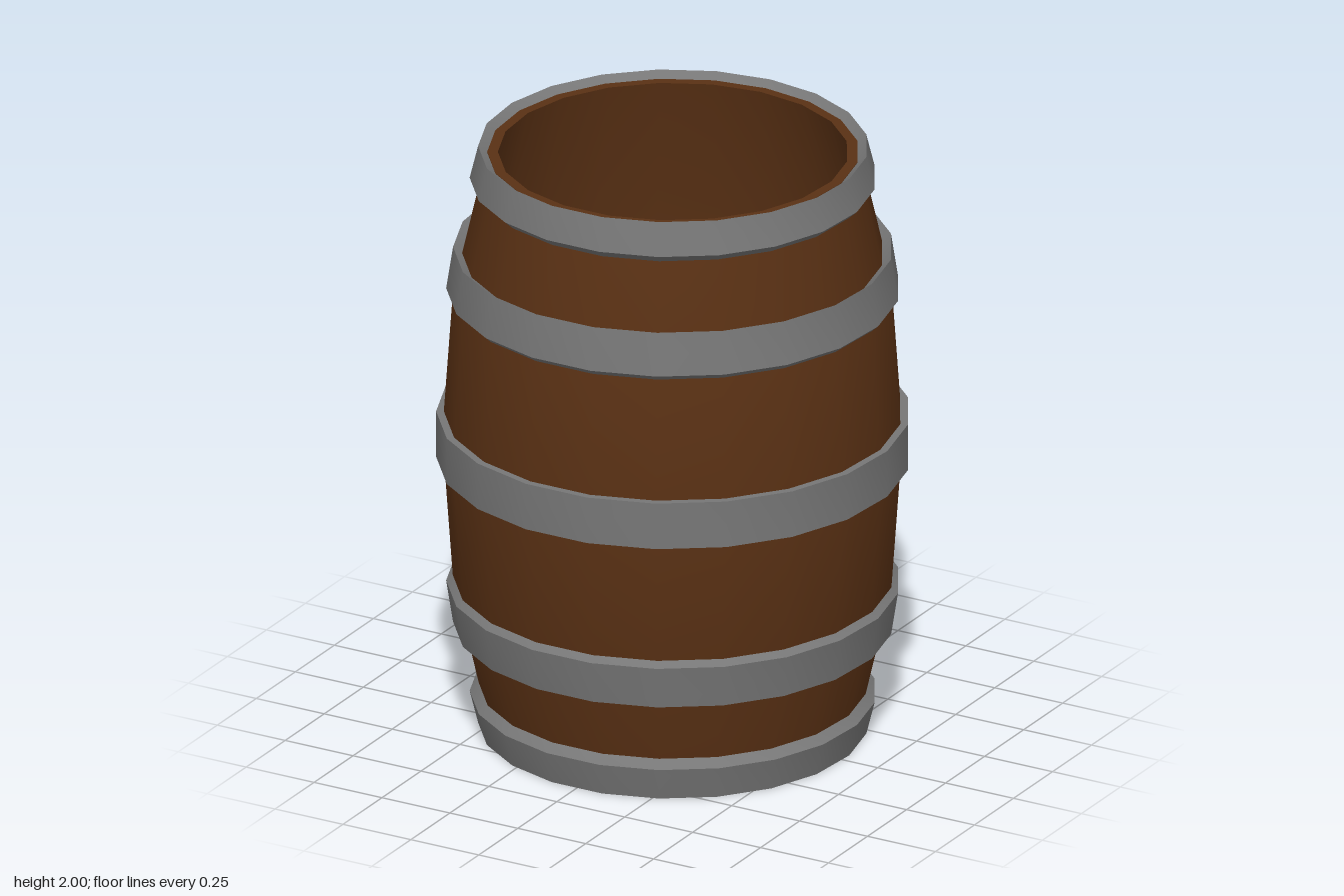
import * as THREE from 'three';
import { toCreasedNormals } from 'three/addons/utils/BufferGeometryUtils.js';

const SIDES = 21;
const wood = new THREE.MeshStandardMaterial({ color: 0x5a3114 });
const iron = new THREE.MeshStandardMaterial({ color: 0x777777 });

// Turns a closed [radius, y] profile, counter-clockwise, with a corner at the back
function turned(name, profile, material) {
  const points = profile.map(([r, y]) => new THREE.Vector2(r, y));
  const geometry = new THREE.LatheGeometry(points, SIDES, Math.PI);
  const mesh = new THREE.Mesh(toCreasedNormals(geometry, 0.5), material);
  mesh.name = name;
  return mesh;
}

export function createModel() {
  const barrel = new THREE.Group();
  barrel.name = 'barrel';

  // Hollow body: base, bulging outer wall, rim, inner wall, floor
  const outer = [[0.594, 0.02], [0.703, 0.5], [0.738, 1], [0.703, 1.5], [0.594, 1.98]];
  const inner = [[0.56, 1.98], [0.67, 1.5], [0.705, 1], [0.67, 0.5], [0.567, 0.05]];
  barrel.add(turned('body', [[0, 0.02], ...outer, ...inner, [0, 0.05]], wood));

  // Middle hoop
  barrel.add(turned('middleHoop',
    [[0.72, 0.922], [0.757, 0.922], [0.757, 1.08], [0.72, 1.08], [0.72, 0.922]], iron));

  // Sloping hoops with both ends slanted inwards, mirrored about the middle of the barrel
  const hoops = {
    RimHoop: [[0.59, 1.975], [0.615, 1.858], [0.65, 1.89], [0.623, 2], [0.59, 1.975]],
    QuarterHoop: [[0.66, 1.618], [0.695, 1.48], [0.725, 1.507], [0.703, 1.65], [0.66, 1.618]],
  };
  for (const [name, profile] of Object.entries(hoops)) {
    barrel.add(turned('upper' + name, profile, iron));
    const mirrored = profile.map(([r, y]) => [r, 2 - y]).reverse();
    barrel.add(turned('lower' + name, mirrored, iron));
  }

  // Centre the odd-sided outline front to back
  barrel.position.z = 0.004;
  const model = new THREE.Group();
  model.add(barrel);
  return model;
}
